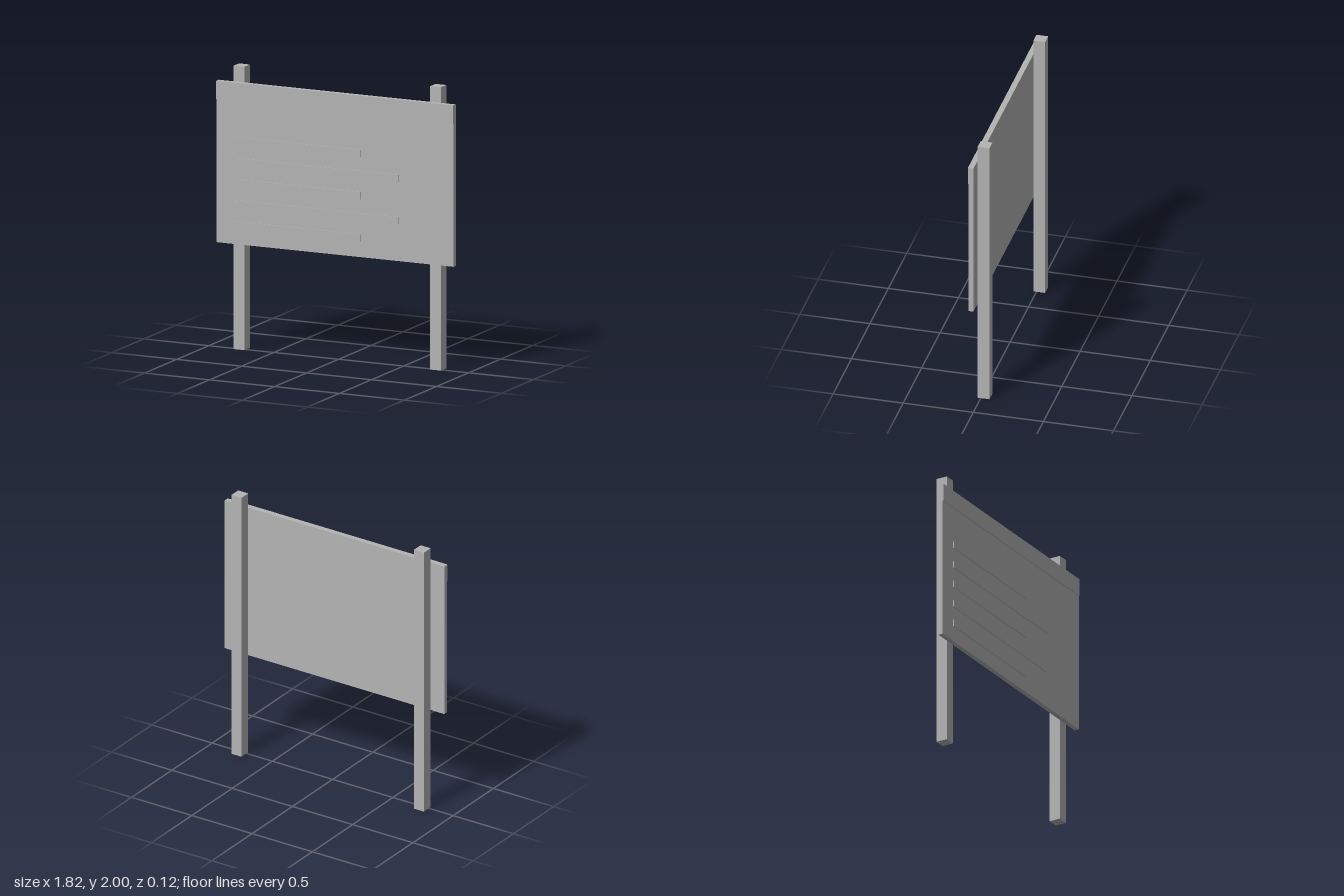
import * as THREE from 'three';

export function createModel() {
  const group = new THREE.Group();
  group.name = 'noticeBoard';
  const grey = new THREE.MeshStandardMaterial({ color: 0xb4b4b4 });
  grey.name = 'grey';

  // box given by its limits along each axis
  function box(name, [x0, x1], [y0, y1], [z0, z1]) {
    const mesh = new THREE.Mesh(new THREE.BoxGeometry(x1 - x0, y1 - y0, z1 - z0), grey);
    mesh.position.set((x0 + x1) / 2, (y0 + y1) / 2, (z0 + z1) / 2);
    mesh.name = name;
    group.add(mesh);
  }

  const back = -0.062, postFront = 0.022, boardFront = 0.056, front = 0.062;

  // two square posts behind the board
  box('leftPost', [0.715, 0.798], [0, 2], [back, postFront]);
  box('rightPost', [-0.798, -0.715], [0, 2], [back, postFront]);

  // board with a raised header band along its top
  box('board', [-0.912, 0.912], [0.75, 1.89], [postFront, boardFront]);
  box('headerBand', [-0.912, 0.912], [1.763, 1.89], [boardFront, front]);

  // raised strips, alternating short and long
  for (let i = 0; i < 5; i++) {
    const y = 1.483 - i * 0.149;
    box('strip' + (i + 1), [-0.77, i % 2 ? 0.487 : 0.2], [y - 0.025, y + 0.025], [boardFront, front]);
  }

  return group;
}
